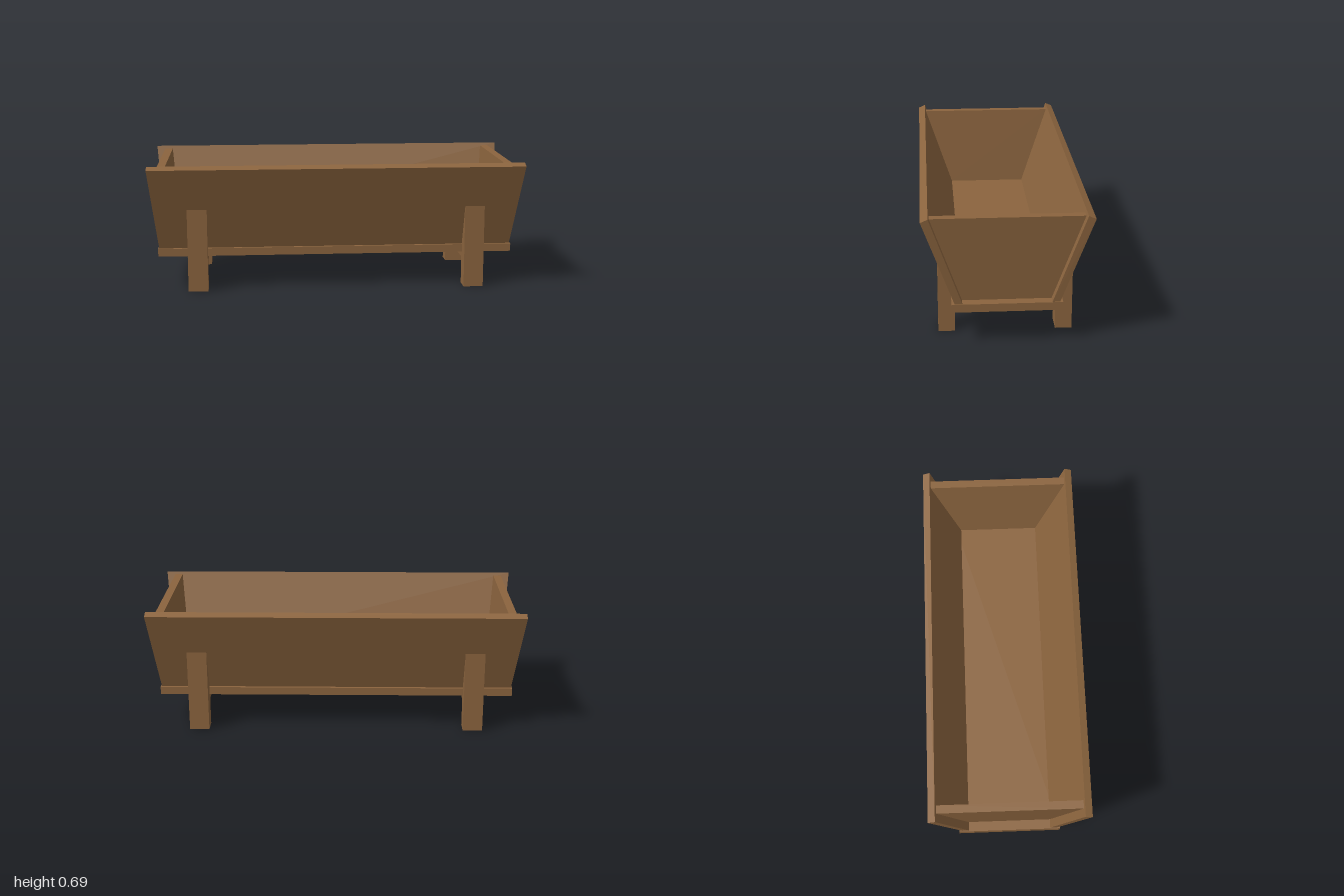
import * as THREE from 'three';

const wood = new THREE.MeshStandardMaterial({ color: 0x8b643e });
wood.name = 'wood';

const FLOOR_TOP = 0.222, RIM = 0.672;
const lerp = THREE.MathUtils.lerp;
const heightRatio = (y) => THREE.MathUtils.clamp((y - FLOOR_TOP) / (RIM - FLOOR_TOP), 0, 1);

// Moves every vertex by a rule, then refreshes the flat normals.
function reshape(geometry, rule) {
  const p = geometry.attributes.position;
  const v = new THREE.Vector3();
  for (let i = 0; i < p.count; i++) {
    rule(v.fromBufferAttribute(p, i));
    p.setXYZ(i, v.x, v.y, v.z);
  }
  geometry.computeVertexNormals();
  return geometry;
}

// Extrudes a [z, y] outline along x, centred on x = 0.
function prism(outline, width) {
  const shape = new THREE.Shape(outline.map(([z, y]) => new THREE.Vector2(z, y)));
  return new THREE.ExtrudeGeometry(shape, { depth: width, bevelEnabled: false })
    .translate(0, 0, -width / 2)
    .rotateY(-Math.PI / 2);
}

export function createModel() {
  const model = new THREE.Group();
  model.name = 'planterTrough';
  const add = (name, geometry, x = 0, y = 0, turn = 0) => {
    const mesh = new THREE.Mesh(geometry, wood);
    mesh.name = name;
    mesh.position.set(x, y, 0);
    mesh.rotation.y = turn;
    model.add(mesh);
  };

  // Base board
  add('floorBoard', new THREE.BoxGeometry(1.92, 0.042, 0.55), 0, 0.201);

  // Leaning long board, wider at the rim than at the floor
  const sideBoard = reshape(
    prism([[0.222, FLOOR_TOP], [0.26, FLOOR_TOP], [0.42, RIM], [0.383, 0.688]], 2),
    (v) => { v.x *= lerp(0.955, 1, heightRatio(v.y)); }
  );

  // Leaning end board that fits between the long boards
  const endBoard = reshape(new THREE.BoxGeometry(0.043, RIM - FLOOR_TOP, 2), (v) => {
    v.y += (RIM + FLOOR_TOP) / 2;
    const t = heightRatio(v.y);
    v.x += lerp(0.887, 0.932, t);
    v.z *= lerp(0.222, 0.378, t);
  });

  // Leg with its upper part cut to the slope of the long board
  const leg = prism([[0.255, 0], [0.34, 0], [0.34, 0.45], [0.26, FLOOR_TOP], [0.255, FLOOR_TOP]], 0.106);
  const crossbar = new THREE.BoxGeometry(0.106, 0.032, 0.51);

  for (const [side, turn] of [['front', 0], ['back', Math.PI]]) {
    add(side + 'Board', sideBoard, 0, 0, turn);
    for (const [hand, x] of [['Left', 0.746], ['Right', -0.746]]) add(side + hand + 'Leg', leg, x, 0, turn);
  }
  for (const [hand, x, turn] of [['left', 0.746, 0], ['right', -0.746, Math.PI]]) {
    add(hand + 'EndBoard', endBoard, 0, 0, turn);
    add(hand + 'Crossbar', crossbar, x, 0.164);
  }
  return model;
}
